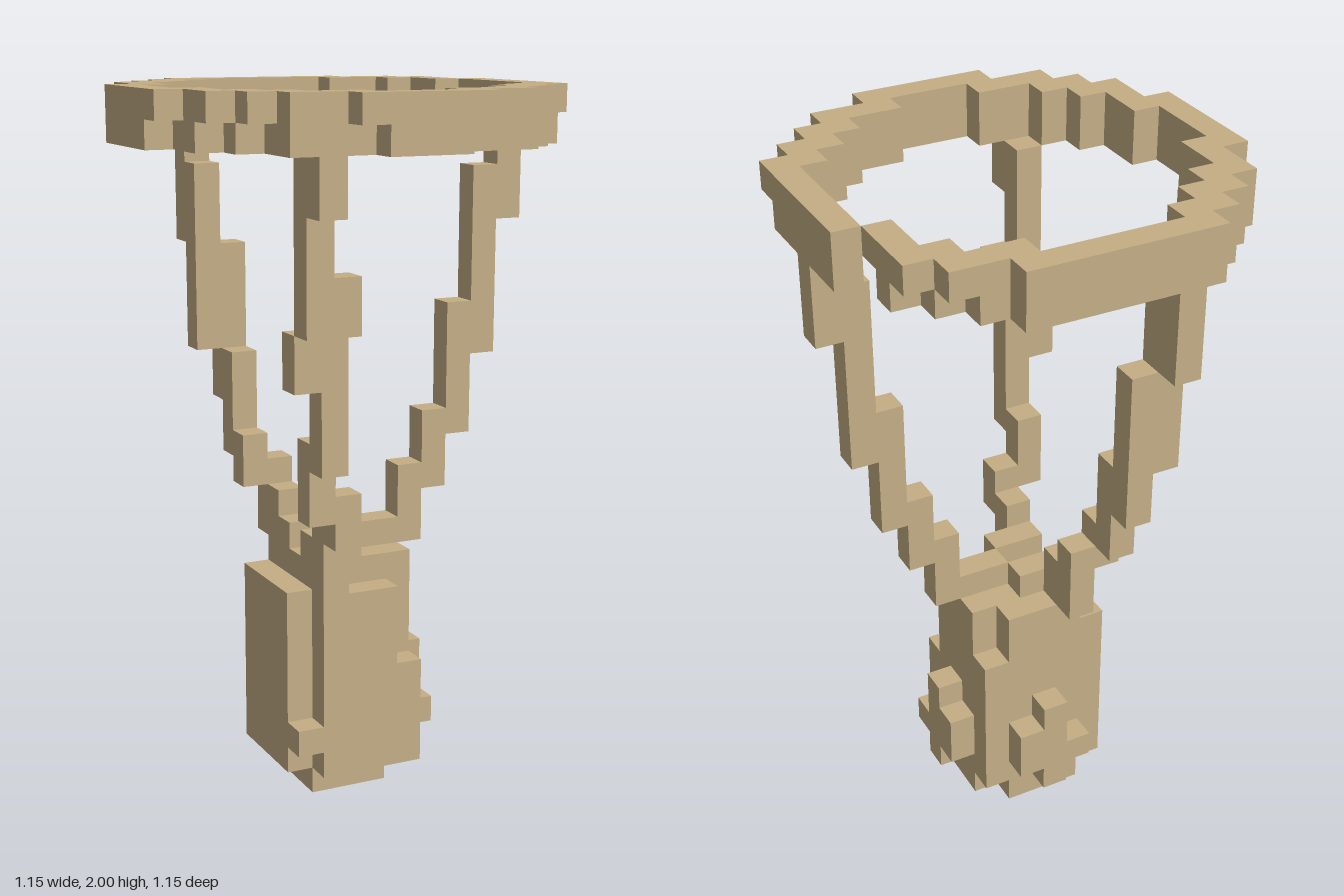
import * as THREE from 'three';

const U = 2 / 26; // edge of one cube; the model is 15 x 26 x 15 cubes

// Boxes are inclusive cube ranges: [x0, x1, y0, y1, z0, z1]
const parts = {
  body: [
    [6, 8, 0, 0, 5, 8], [9, 9, 0, 0, 6, 7], // foot
    [5, 8, 1, 7, 5, 8], [9, 9, 1, 8, 6, 8], // core
    [9, 9, 1, 6, 5, 5],
    [6, 8, 1, 7, 9, 9], [9, 9, 1, 4, 9, 9], // front panel
    [6, 8, 8, 8, 6, 8], [6, 8, 8, 8, 5, 5],
    [6, 7, 9, 9, 6, 6], [6, 7, 9, 9, 8, 8], [8, 9, 9, 9, 7, 7],
  ],
  sideKnob: [[10, 10, 1, 4, 7, 7], [10, 10, 2, 3, 6, 6], [10, 10, 2, 2, 8, 8]],
  backKnob: [[7, 7, 1, 4, 4, 4], [8, 8, 2, 3, 4, 4], [6, 6, 2, 2, 4, 4]],
  cornerKnob: [[5, 5, 2, 2, 9, 9]],
  leftStrut: [
    [10, 10, 9, 11, 7, 7], [11, 11, 11, 13, 7, 7], [12, 12, 13, 17, 7, 7],
    [13, 13, 16, 22, 7, 7], [14, 14, 21, 23, 7, 7],
  ],
  frontStrut: [
    [6, 6, 8, 10, 9, 9], [6, 6, 10, 11, 10, 10], [5, 5, 11, 13, 10, 10],
    [5, 5, 13, 17, 11, 11], [4, 4, 16, 17, 11, 11], [5, 5, 18, 19, 12, 12],
    [4, 4, 18, 23, 12, 12], [4, 4, 22, 23, 13, 13],
  ],
  backStrut: [
    [6, 6, 9, 10, 5, 5], [6, 6, 9, 11, 4, 4], [5, 5, 11, 12, 4, 4],
    [5, 5, 12, 15, 3, 3], [5, 5, 14, 19, 2, 2], [4, 4, 16, 22, 2, 2],
    [4, 4, 20, 23, 1, 1],
  ],
  rim: [],
};

// Rim plan, back row first: the x ranges filled in each row
const rimRows = [
  [[4, 10]],
  [[3, 4], [10, 12]],
  [[2, 3], [12, 13]],
  [[1, 2], [13, 13]],
  [[1, 1], [13, 13]],
  [[0, 1], [14, 14]],
  [[0, 0], [14, 14]],
  [[0, 0], [14, 14]],
  [[0, 0], [14, 14]],
  [[0, 1], [14, 14]],
  [[1, 1], [13, 14]],
  [[1, 2], [12, 13]],
  [[2, 3], [11, 12]],
  [[3, 5], [9, 11]],
  [[5, 9]],
];
// Outer corners missing from the lower rim layer
const notches = new Set(['5,14', '9,14', '14,10', '12,1', '13,2', '13,4', '0,9', '1,11', '2,12']);
rimRows.forEach((row, z) => row.forEach(([a, b]) => {
  for (let x = a; x <= b; x++) {
    parts.rim.push([x, x, notches.has(x + ',' + z) ? 25 : 24, 25, z, z]);
  }
}));

// Cubes keyed by position, each owned by one part
function fillCubes() {
  const cubes = new Map();
  for (const [name, boxes] of Object.entries(parts)) {
    for (const [x0, x1, y0, y1, z0, z1] of boxes) {
      for (let x = x0; x <= x1; x++)
        for (let y = y0; y <= y1; y++)
          for (let z = z0; z <= z1; z++) {
            const key = [x, y, z].join();
            if (!cubes.has(key)) cubes.set(key, { name, p: [x, y, z] });
          }
    }
  }
  return cubes;
}

// Outer faces of one part, skipping faces between touching cubes
function partGeometry(name, cubes) {
  const pos = [];
  for (const cube of cubes.values()) {
    if (cube.name !== name) continue;
    for (let axis = 0; axis < 3; axis++) {
      for (const side of [0, 1]) {
        const next = [...cube.p];
        next[axis] += side ? 1 : -1;
        if (cubes.has(next.join())) continue;
        const u = (axis + 1) % 3, v = (axis + 2) % 3;
        const corner = (a, b) => {
          const c = [...cube.p];
          c[axis] += side; c[u] += a; c[v] += b;
          return [(c[0] - 7.5) * U, c[1] * U, (c[2] - 7.5) * U];
        };
        const q = [corner(0, 0), corner(1, 0), corner(1, 1), corner(0, 1)];
        if (!side) q.reverse();
        for (const k of [0, 1, 2, 0, 2, 3]) pos.push(...q[k]);
      }
    }
  }
  const geo = new THREE.BufferGeometry();
  geo.setAttribute('position', new THREE.Float32BufferAttribute(pos, 3));
  geo.computeVertexNormals();
  return geo;
}

export function createModel() {
  const model = new THREE.Group();
  model.name = 'blockTorch';
  const tan = new THREE.MeshStandardMaterial({ color: 0xc4ae85 });
  tan.name = 'tan';
  const cubes = fillCubes();
  for (const name of Object.keys(parts)) {
    const mesh = new THREE.Mesh(partGeometry(name, cubes), tan);
    mesh.name = name;
    model.add(mesh);
  }
  return model;
}
